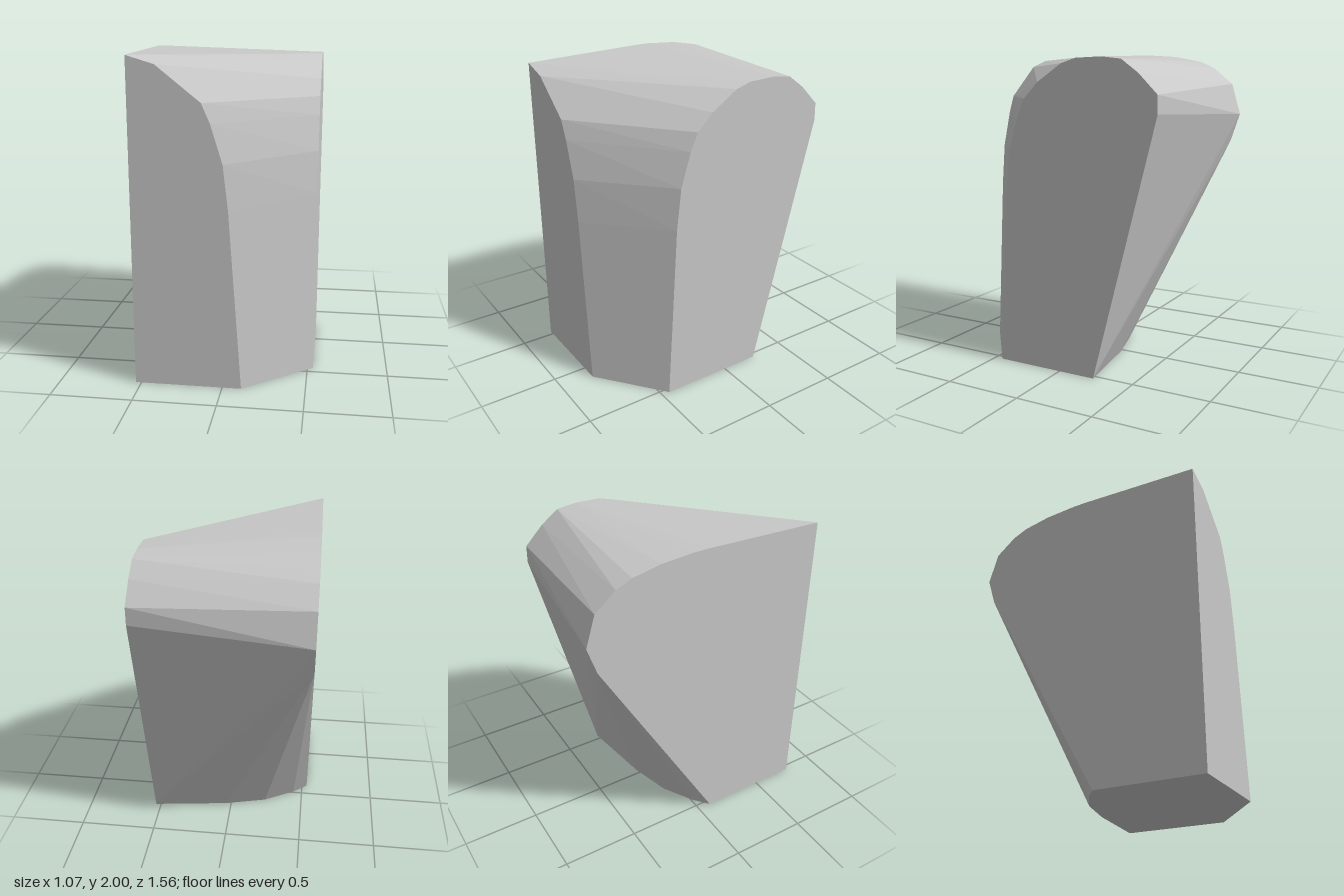
import * as THREE from 'three';
import { ConvexGeometry } from 'three/addons/geometries/ConvexGeometry.js';

export function createModel() {
  const stone = new THREE.MeshStandardMaterial({ color: 0xc8c8c8 });
  stone.name = 'paleGrey';
  const side = 0.535, front = 0.78;

  // Flat front face, [x, y]
  const frontOutline = [
    [-side, 0], [-side, 1.975], [-0.37, 1.925], [-0.11, 1.715], [-0.06, 1.6],
    [0.01, 1.37], [0.04, 1.1], [0.115, 0],
  ].map(([x, y]) => new THREE.Vector3(x, y, front));

  // Flat left face, [z, y]
  const leftOutline = [
    [0.447, 0], [0.385, 1.13], [0.355, 1.39], [0.29, 1.6], [0.24, 1.71],
    [0.14, 1.81], [-0.03, 1.92], [-0.13, 1.95], [-0.3, 1.955], [-0.43, 1.94],
    [-0.54, 1.86], [-0.66, 1.74], [-0.662, 1.63], [-0.245, 0],
  ].map(([z, y]) => new THREE.Vector3(side, y, z));

  // Flat right face, [z, y]
  const rightOutline = [
    [0, 2], [-0.1, 2], [-0.31, 1.985], [-0.49, 1.95], [-0.59, 1.905],
    [-0.72, 1.8], [-0.78, 1.6], [-0.72, 1.42], [0.09, 0],
  ].map(([z, y]) => new THREE.Vector3(-side, y, z));

  // Curved rear edge of the base, [x, z]
  const baseEdge = [[-0.44, 0.01], [-0.24, -0.106], [0.034, -0.178]]
    .map(([x, z]) => new THREE.Vector3(x, 0, z));

  // Faceted skin stretched between the outlines
  const block = new THREE.Mesh(
    new ConvexGeometry([...frontOutline, ...leftOutline, ...rightOutline, ...baseEdge]), stone);
  block.name = 'taperedBlock';

  const model = new THREE.Group();
  model.name = 'facetedBlock';
  model.add(block);
  return model;
}
